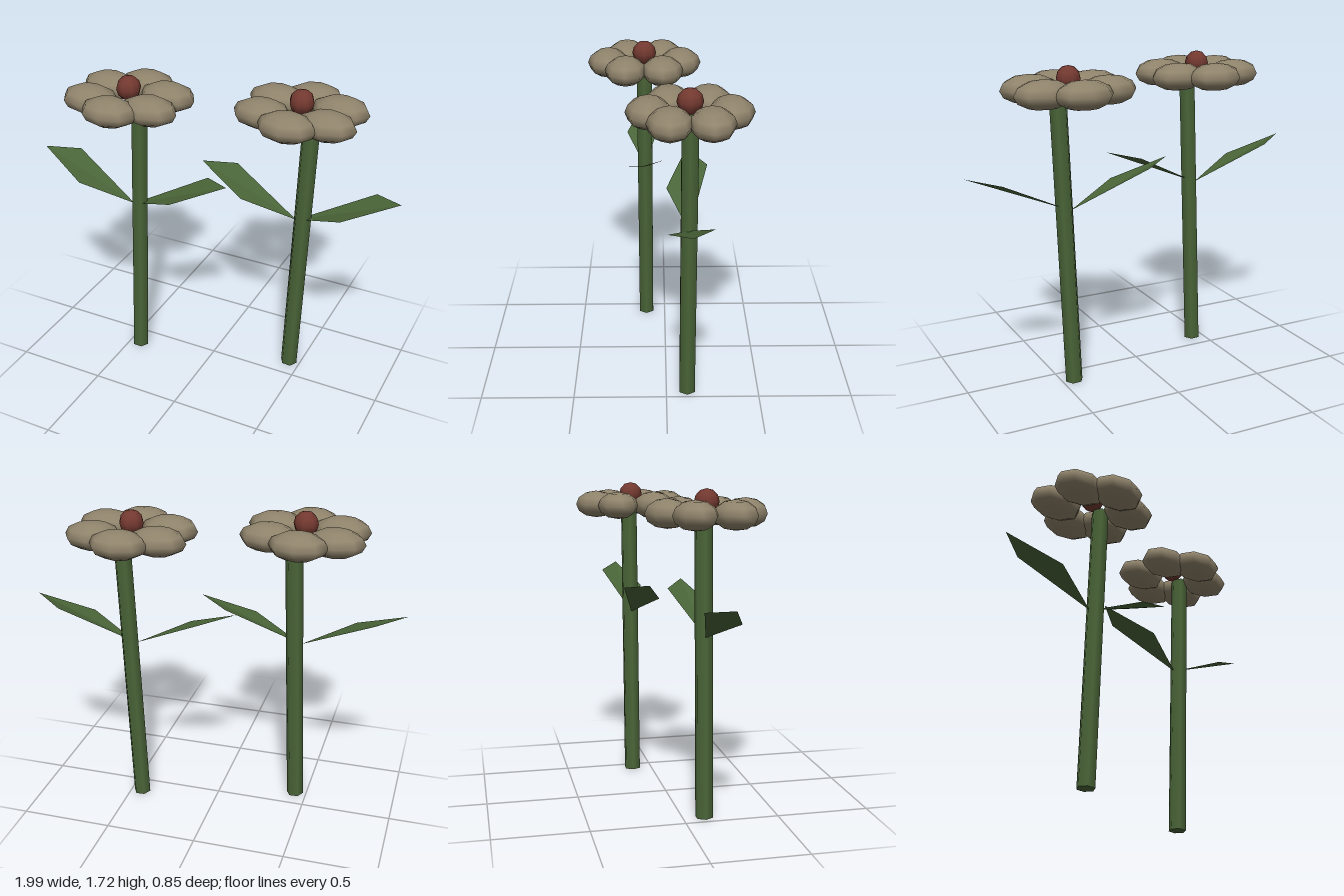
import * as THREE from 'three';

const mat = (name, color, extra = {}) => {
  const m = new THREE.MeshStandardMaterial({ color, ...extra });
  m.name = name;
  return m;
};

function part(name, geometry, material) {
  const mesh = new THREE.Mesh(geometry, material);
  mesh.name = name;
  return mesh;
}

// Folded four-cornered leaf; side is +1 or -1 along x
function leafGeometry(side) {
  const base = [side * 0.0, 0.965, 0];
  const back = [side * 0.4, 1.165, -0.11];
  const tip = [side * 0.56, 1.195, 0];
  const front = [side * 0.28, 1.08, 0.11];
  const tris = side > 0
    ? [base, tip, back, base, front, tip]
    : [base, back, tip, base, tip, front];
  const g = new THREE.BufferGeometry();
  g.setAttribute('position', new THREE.Float32BufferAttribute(tris.flat(), 3));
  g.computeVertexNormals();
  return g;
}

export function createModel() {
  const green = mat('stem green', 0x4a6538);
  const leafGreen = green;
  leafGreen.side = THREE.DoubleSide;
  const beige = mat('petal beige', 0x8f836b);
  const red = mat('centre red', 0x733930);

  // Leaning six-sided stem
  const stemGeo = new THREE.CylinderGeometry(0.048, 0.048, 1.59, 6);
  stemGeo.rotateY(Math.PI / 6);
  stemGeo.rotateZ(-0.038);
  stemGeo.translate(0.03, 0.797, 0);

  // Flattened petal, wider along x
  const petalGeo = new THREE.SphereGeometry(1, 8, 6);
  petalGeo.scale(0.155, 0.075, 0.114);
  const centreGeo = new THREE.SphereGeometry(0.066, 8, 6);

  function flower() {
    const f = new THREE.Group();
    f.name = 'flower';
    f.add(part('stem', stemGeo, green));
    f.add(part('leftLeaf', leafGeometry(1), leafGreen));
    f.add(part('rightLeaf', leafGeometry(-1), leafGreen));
    // Ring of six petals around the centre
    for (let i = 0; i < 6; i++) {
      const a = Math.PI / 6 + (i * Math.PI) / 3;
      const p = part('petal', petalGeo, beige);
      p.position.set(0.2 * Math.cos(a), 1.595, 0.2 * Math.sin(a));
      f.add(p);
    }
    const c = part('flowerCentre', centreGeo, red);
    c.position.y = 1.65;
    f.add(c);
    return f;
  }

  const model = new THREE.Group();
  model.name = 'flowers';
  for (const s of [-1, 1]) {
    const f = flower();
    f.position.set(s * 0.435, 0, s * -0.113);
    model.add(f);
  }
  return model;
}
